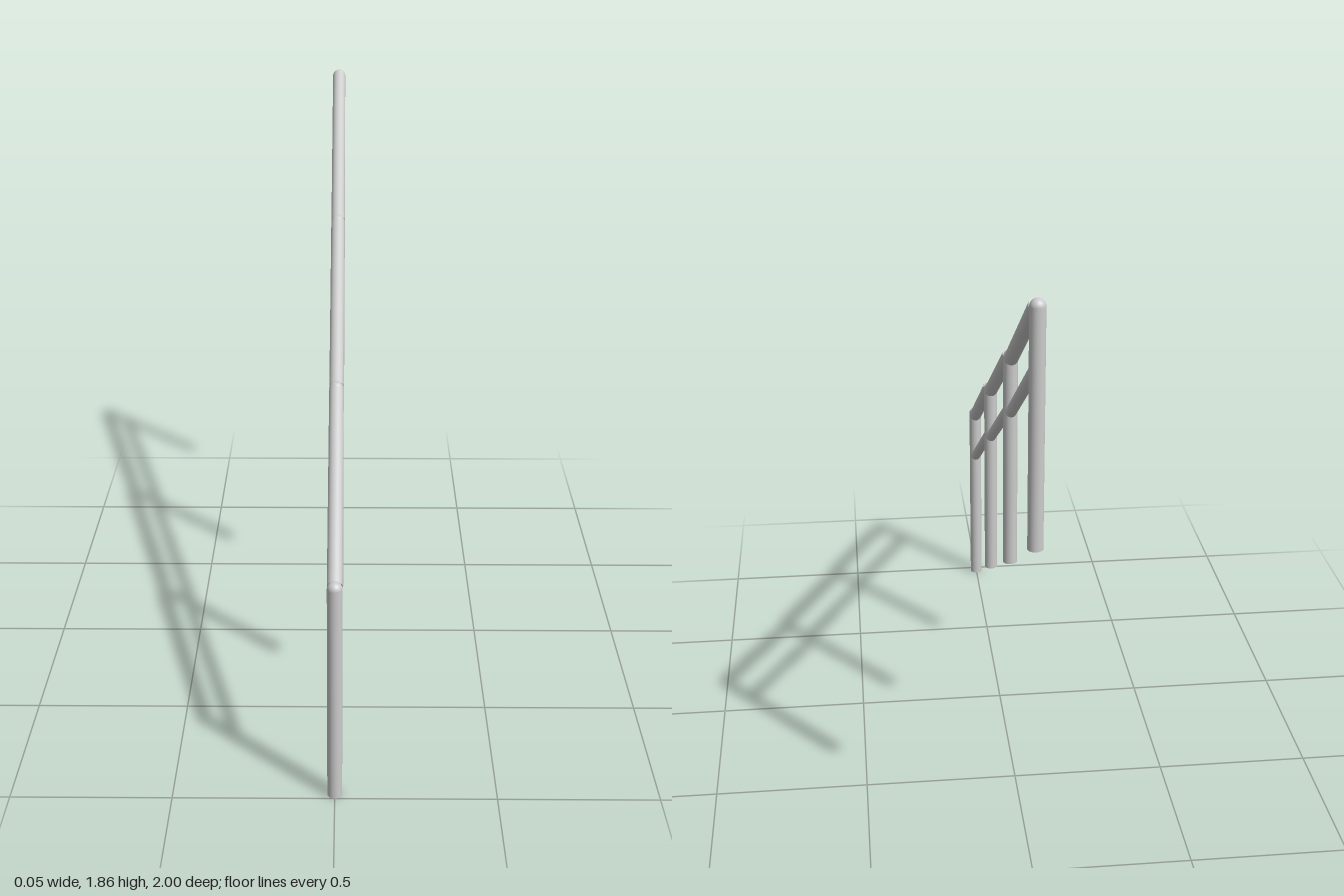
import * as THREE from 'three';

const R = 0.023;        // post and handrail radius
const R_MID = 0.018;    // middle rail radius
const HEIGHT = 0.72;    // post height up to the joint centre
const DROP = 0.18;      // middle rail distance below the handrail
const POSTS = [[0.977, 0], [0.326, 0.367], [-0.326, 0.732], [-0.977, 1.115]]; // z, foot height

export function createModel() {
  const group = new THREE.Group();
  const material = new THREE.MeshStandardMaterial({ color: 0xcccccc });
  const up = new THREE.Vector3(0, 1, 0);

  const add = (name, geometry) => {
    const mesh = new THREE.Mesh(geometry, material);
    mesh.name = name;
    group.add(mesh);
    return mesh;
  };

  // Round bar between two points in the plane x = 0
  const bar = (name, radius, z0, y0, z1, y1) => {
    const a = new THREE.Vector3(0, y0, z0);
    const b = new THREE.Vector3(0, y1, z1);
    const mesh = add(name, new THREE.CylinderGeometry(radius, radius, a.distanceTo(b), 32));
    mesh.position.copy(a).lerp(b, 0.5);
    mesh.quaternion.setFromUnitVectors(up, b.sub(a).normalize());
  };

  POSTS.forEach(([z, foot], i) => {
    // Upright with a rounded joint on top
    bar('post' + (i + 1), R, z, foot, z, foot + HEIGHT);
    add('postJoint' + (i + 1), new THREE.SphereGeometry(R, 32, 20)).position.set(0, foot + HEIGHT, z);

    // Handrail and middle rail run from this post's face to the next one's
    if (i === POSTS.length - 1) return;
    const [zNext, footNext] = POSTS[i + 1];
    const y0 = foot + HEIGHT, y1 = footNext + HEIGHT;
    const z0 = z - 0.018, z1 = zNext + 0.018;
    bar('handrail' + (i + 1), R, z0, y0, z1, y1);
    bar('middleRail' + (i + 1), R_MID, z0, y0 - DROP, z1, y1 - DROP);
  });

  return group;
}
